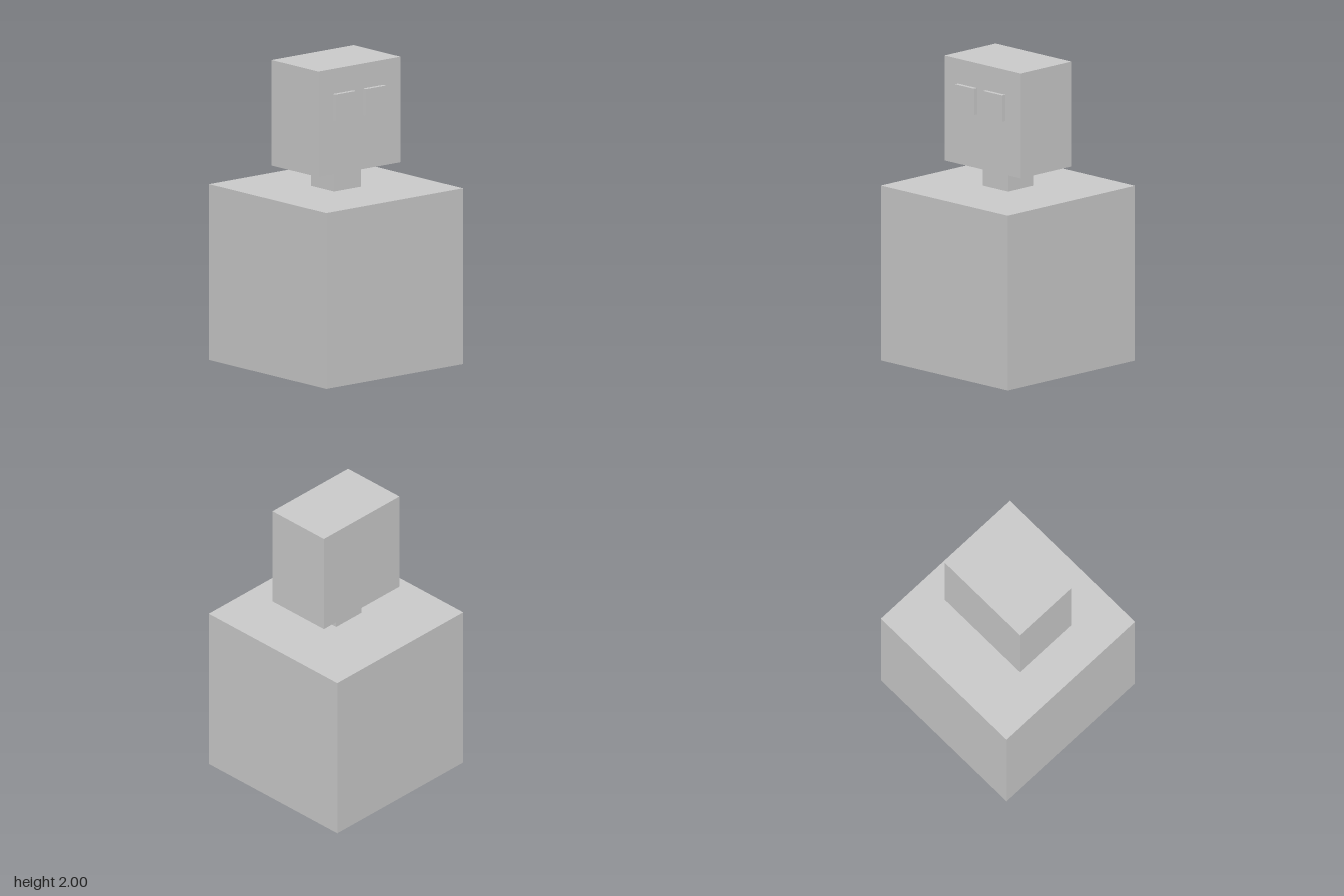
import * as THREE from 'three';

export function createModel() {
  const group = new THREE.Group();
  const grey = new THREE.MeshStandardMaterial({ color: 0xcccccc });
  const white = new THREE.MeshStandardMaterial({ color: 0xffffff });

  // Box with its size and centre
  function box(name, size, centre, material = grey) {
    const mesh = new THREE.Mesh(new THREE.BoxGeometry(...size), material);
    mesh.name = name;
    mesh.position.set(...centre);
    group.add(mesh);
  }

  // Cubic body, short neck and narrow head
  box('body', [1.158, 1.158, 1.158], [0, 0.579, 0]);
  box('neck', [0.23, 0.147, 0.23], [0, 1.2315, 0]);
  box('head', [0.463, 0.695, 0.695], [0, 1.6525, 0]);

  // Two raised square eyes on the +x side of the head
  for (const [name, z] of [['frontEye', 0.139], ['backEye', -0.117]]) {
    box(name, [0.058, 0.174, 0.174], [0.2295, 1.748, z], white);
  }

  return group;
}
